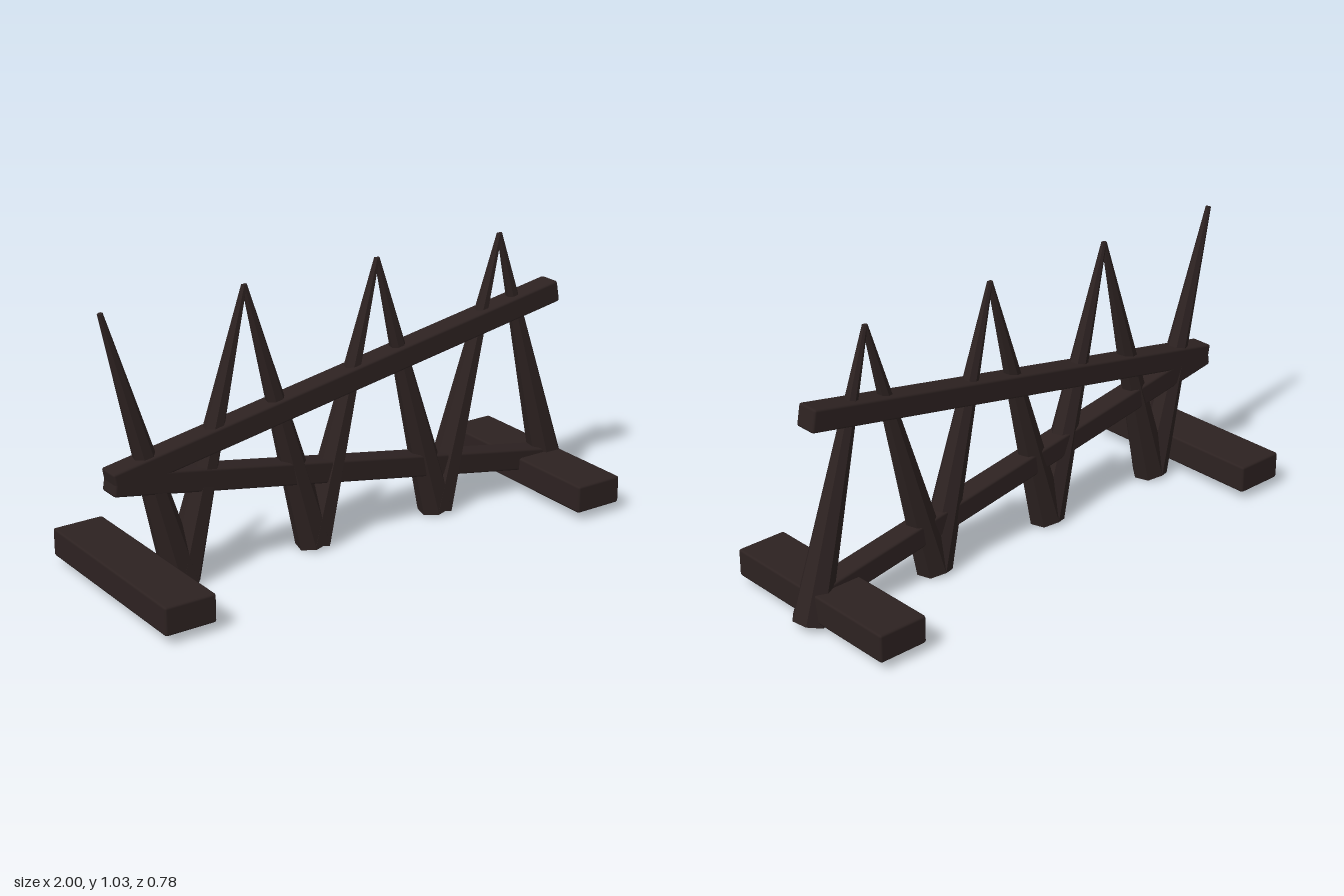
import * as THREE from 'three';
import { RoundedBoxGeometry } from 'three/addons/geometries/RoundedBoxGeometry.js';

const darkWood = new THREE.MeshStandardMaterial({ color: 0x2d2221 });

// Softly bevelled timber
function timber(name, w, h, d, x, y, z, tilt = 0) {
  const mesh = new THREE.Mesh(new RoundedBoxGeometry(w, h, d, 1, 0.009), darkWood);
  mesh.name = name;
  mesh.position.set(x, y, z);
  mesh.rotation.z = tilt;
  return mesh;
}

// Seven-sided sharpened stake, faceted, running from its foot to its tip
function stakeGeometry(length) {
  const geo = new THREE.CylinderGeometry(0.01, 0.068, length, 7).toNonIndexed();
  geo.rotateY(Math.PI);
  geo.computeVertexNormals();
  return geo;
}

export function createModel() {
  const group = new THREE.Group();
  group.name = 'spikedBarricade';

  // Ground feet
  for (const [name, x] of [['rightFoot', -0.903], ['leftFoot', 0.847]]) {
    group.add(timber(name, 0.195, 0.105, 0.78, x, 0.089, 0));
  }

  // Two rails fanning out from one end
  const angle = 0.176;
  for (const [name, s] of [['upperRail', 1], ['lowerRail', -1]]) {
    group.add(timber(name, 1.92, 0.083, 0.088, -0.03, 0.441 + s * 0.168, 0, s * angle));
  }

  // Zigzag of stakes, leaning alternately
  const run = 0.274, bottom = 0.021, top = 1.031;
  const rise = top - bottom;
  const geo = stakeGeometry(Math.hypot(run, rise));
  for (let i = 0; i < 7; i++) {
    const lean = i % 2 === 0 ? 1 : -1; // 1 leans toward -x
    const stake = new THREE.Mesh(geo, darkWood);
    stake.name = `stake${i + 1}`;
    stake.position.set(-0.847 + i * run, (top + bottom) / 2, 0);
    stake.rotation.z = lean * Math.atan2(run, rise);
    group.add(stake);
  }
  return group;
}
